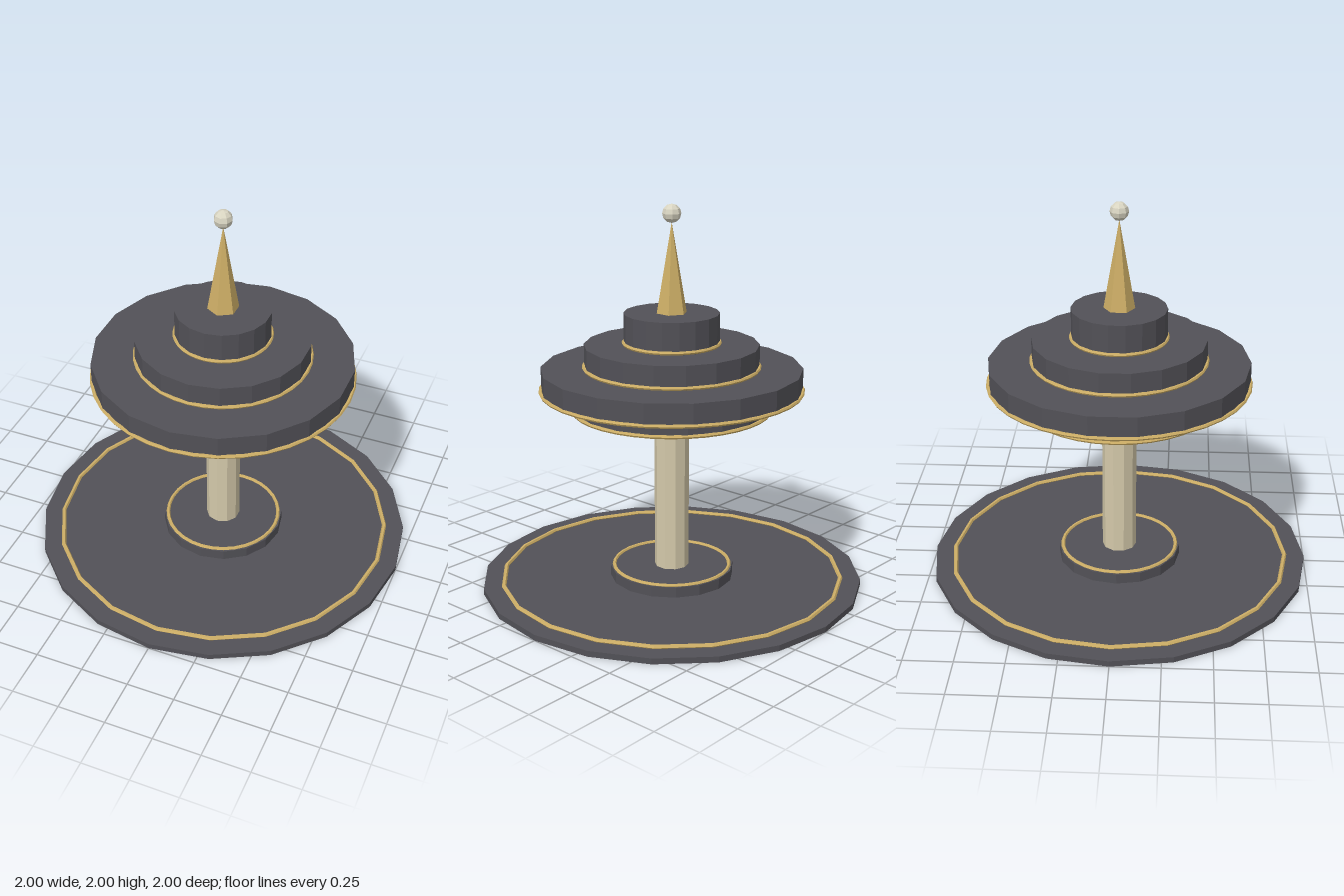
import * as THREE from 'three';

export function createModel() {
  const model = new THREE.Group();
  model.name = 'tieredTower';

  const paint = (name, color) => {
    const m = new THREE.MeshStandardMaterial({ color, flatShading: true });
    m.name = name;
    return m;
  };
  const slate = paint('slate', 0x525157);
  const gold = paint('gold', 0xcdae66);
  const cream = paint('cream', 0xd4c9aa);
  const pearl = paint('pearl', 0xd9d5c2);

  const add = (name, geometry, material, y) => {
    const mesh = new THREE.Mesh(geometry, material);
    mesh.name = name;
    mesh.position.y = y;
    model.add(mesh);
  };
  // Upright drum between two heights
  const drum = (name, r, y0, y1, sides, material) =>
    add(name, new THREE.CylinderGeometry(r, r, y1 - y0, sides), material, (y0 + y1) / 2);
  // Thin horizontal trim ring
  const ring = (name, r, y, sides, tube = 0.01) =>
    add(name, new THREE.TorusGeometry(r, tube, 6, sides).rotateX(Math.PI / 2), gold, y);

  // Base disc, plinth and column
  drum('baseDisc', 1, 0, 0.03, 20, slate);
  ring('baseRing', 0.895, 0.035, 20, 0.012);
  drum('plinth', 0.325, 0.03, 0.085, 16, slate);
  ring('plinthRing', 0.305, 0.087, 32);
  drum('column', 0.09, 0.08, 0.95, 10, cream);

  // Stacked tiers: radius, bottom, top, height of the trim ring
  [
    [0.51, 0.942, 1.05, 0.95],
    [0.673, 1.048, 1.163, 1.053],
    [0.449, 1.163, 1.286, 1.174],
    [0.245, 1.286, 1.45, 1.297],
  ].forEach(([r, y0, y1, ringY], i) => {
    drum(`tier${i + 1}`, r, y0, y1, 18, slate);
    ring(`tierRing${i + 1}`, r, ringY, 36);
  });

  // Spire and finial
  add('spire', new THREE.ConeGeometry(0.08, 0.46, 6), gold, 1.68);
  add('finial', new THREE.SphereGeometry(0.048, 8, 6), pearl, 1.952);

  return model;
}
